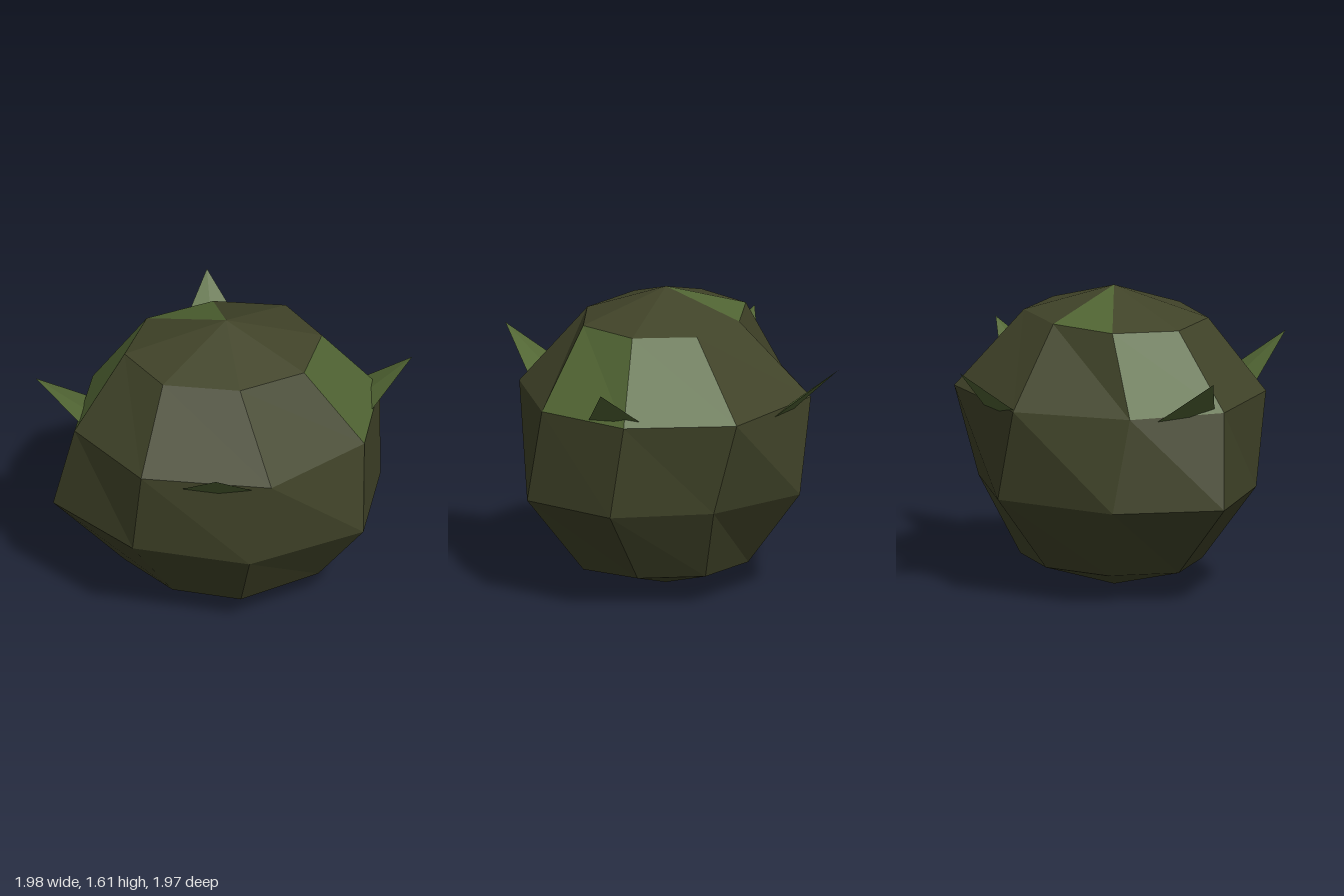
import * as THREE from 'three';

const SEG = 8, R = 0.805;

// [x, z] of each ring from top to bottom, running left, front, right, back
const RINGS = [
  [[-0.54, 0], [-0.39, 0.32], [0, 0.44], [0.36, 0.33], [0.51, 0], [0.37, -0.31], [0, -0.41], [-0.37, -0.31]],
  [[-0.82, 0.08], [-0.55, 0.58], [0.11, 0.78], [0.66, 0.45], [0.83, -0.07], [0.58, -0.61], [-0.11, -0.77], [-0.64, -0.41]],
  [[-0.92, 0], [-0.58, 0.49], [0, 0.74], [0.64, 0.54], [0.82, 0.01], [0.55, -0.47], [0.03, -0.76], [-0.62, -0.51]],
  [[-0.54, 0], [-0.34, 0.32], [0, 0.47], [0.44, 0.3], [0.51, -0.03], [0.35, -0.35], [0, -0.46], [-0.36, -0.33]],
];

// Mossy facets as [row, column]
const MOSSY = [[0, 6], [1, 3], [1, 4], [1, 7]];

function boulderGeometry() {
  const sphere = new THREE.SphereGeometry(R, SEG, 5);
  sphere.translate(0, R, 0);
  const pos = sphere.attributes.position;
  RINGS.forEach((ring, r) => {
    for (let i = 0; i <= SEG; i++) {
      const [x, z] = ring[i % SEG];
      const v = (r + 1) * (SEG + 1) + i;
      pos.setX(v, x);
      pos.setZ(v, z);
    }
  });
  const geo = sphere.toNonIndexed();
  geo.computeVertexNormals();
  geo.clearGroups();
  // One group per facet: the end rows are triangles, the others quads
  let start = 0;
  for (let row = 0; row < 5; row++) {
    const count = row === 0 || row === 4 ? 3 : 6;
    for (let col = 0; col < SEG; col++) {
      const mossy = MOSSY.some(([a, b]) => a === row && b === col);
      geo.addGroup(start, count, mossy ? 1 : 0);
      start += count;
    }
  }
  return geo;
}

// Thin flattened spike with its tip at the origin, pointing up +y
function spikeGeometry() {
  const cone = new THREE.ConeGeometry(1, 1, 4);
  cone.translate(0, -0.5, 0);
  cone.scale(0.235, 0.48, 0.022);
  const geo = cone.toNonIndexed();
  geo.computeVertexNormals();
  return geo;
}

export function createModel() {
  const olive = new THREE.MeshStandardMaterial({ color: 0x414429 });
  olive.name = 'dark olive';
  const moss = new THREE.MeshStandardMaterial({ color: 0x526634 });
  moss.name = 'moss green';

  const model = new THREE.Group();
  model.name = 'spikedBoulder';

  const body = new THREE.Mesh(boulderGeometry(), [olive, moss]);
  body.name = 'body';
  model.add(body);

  // Four spikes leaning outward and up
  const spikeGeo = spikeGeometry();
  const tips = {
    frontSpike: [-0.22, 0.98],
    rightSpike: [0.99, 0],
    backSpike: [0.065, -0.99],
    leftSpike: [-0.99, -0.13],
  };
  for (const [name, [x, z]] of Object.entries(tips)) {
    const out = new THREE.Vector3(x, 0, z).normalize();
    const dir = out.clone().add(new THREE.Vector3(0, 0.85, 0)).normalize();
    const side = new THREE.Vector3(out.z, 0, -out.x);
    const basis = new THREE.Matrix4().makeBasis(side, dir, side.clone().cross(dir));
    const spike = new THREE.Mesh(spikeGeo, moss);
    spike.name = name;
    spike.quaternion.setFromRotationMatrix(basis);
    spike.position.set(x, 1.265, z);
    model.add(spike);
  }
  return model;
}
